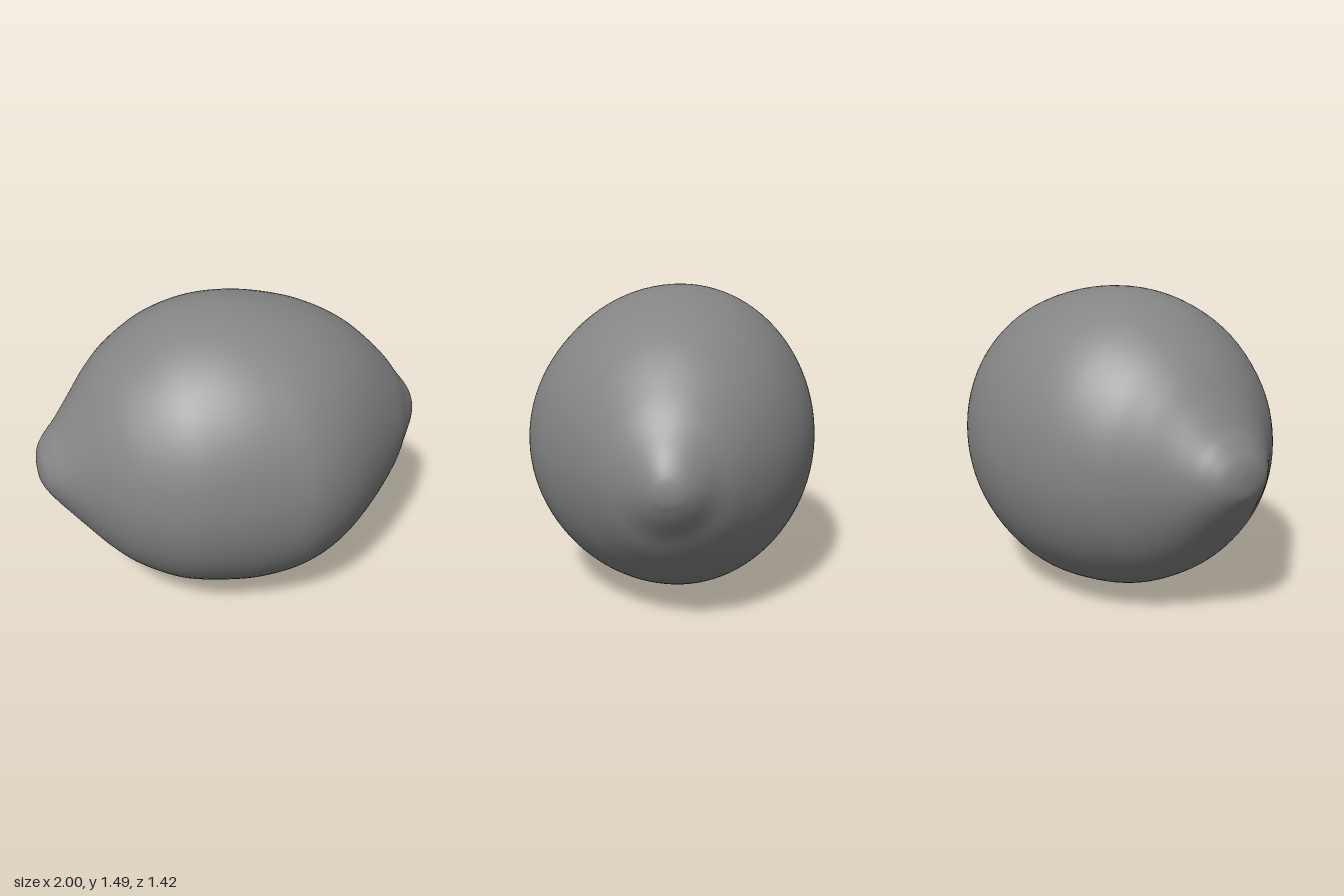
import * as THREE from 'three';
import { mergeVertices } from 'three/addons/utils/BufferGeometryUtils.js';

// Centre line of the fruit, running along x
const CY = 0.735, CZ = -0.03;

// Sections along x: [x, top y, bottom y, front z, back z]
const SECTIONS = [
  [-1, CY, CY, CZ, CZ],
  [-0.995, 0.79, 0.68, 0.03, -0.09],
  [-0.975, 0.845, 0.635, 0.10, -0.155],
  [-0.93, 0.905, 0.565, 0.16, -0.21],
  [-0.88, 0.96, 0.50, 0.215, -0.255],
  [-0.8, 1.07, 0.40, 0.305, -0.33],
  [-0.7, 1.20, 0.285, 0.425, -0.44],
  [-0.58, 1.31, 0.18, 0.535, -0.555],
  [-0.4, 1.42, 0.08, 0.638, -0.65],
  [-0.2, 1.477, 0.025, 0.687, -0.70],
  [0, 1.483, 0, 0.708, -0.712],
  [0.2, 1.45, 0.025, 0.70, -0.687],
  [0.4, 1.385, 0.085, 0.615, -0.622],
  [0.6, 1.27, 0.20, 0.465, -0.51],
  [0.78, 1.10, 0.365, 0.30, -0.36],
  [0.88, 0.97, 0.505, 0.18, -0.245],
  [0.95, 0.88, 0.60, 0.09, -0.17],
  [0.985, 0.815, 0.665, 0.035, -0.115],
  [0.997, 0.77, 0.70, 0, -0.07],
  [1, CY, CY, CZ, CZ],
];

const spline = (pick) => new THREE.CatmullRomCurve3(
  SECTIONS.map((s) => new THREE.Vector3(...pick(s))), false, 'catmullrom', 0.5);

// Loft of rings made of four quarter ellipses that meet smoothly
function fruitGeometry(rings = 120, sides = 96) {
  const vertical = spline(([x, top, bottom]) => [x, top - CY, CY - bottom]);
  const depth = spline(([x, , , front, back]) => [x, front - CZ, CZ - back]);
  const positions = [], index = [];
  for (let i = 0; i <= rings; i++) {
    const v = vertical.getPoint(i / rings), d = depth.getPoint(i / rings);
    for (let j = 0; j < sides; j++) {
      const a = (j / sides) * Math.PI * 2;
      const c = Math.cos(a), s = Math.sin(a);
      positions.push(v.x, CY + c * (c > 0 ? v.y : v.z), CZ + s * (s > 0 ? d.y : d.z));
      if (i === rings) continue;
      const p = i * sides + j, q = i * sides + (j + 1) % sides;
      if (i > 0) index.push(p, q, p + sides);
      if (i < rings - 1) index.push(q, q + sides, p + sides);
    }
  }
  let geometry = new THREE.BufferGeometry();
  geometry.setAttribute('position', new THREE.Float32BufferAttribute(positions, 3));
  geometry.setIndex(index);
  geometry = mergeVertices(geometry, 1e-5);
  geometry.computeVertexNormals();
  return geometry;
}

export function createModel() {
  const group = new THREE.Group();
  group.name = 'lemon';
  const fruit = new THREE.Mesh(fruitGeometry(), new THREE.MeshStandardMaterial({ color: 0x858585 }));
  fruit.name = 'lemonFruit';
  group.add(fruit);
  return group;
}
